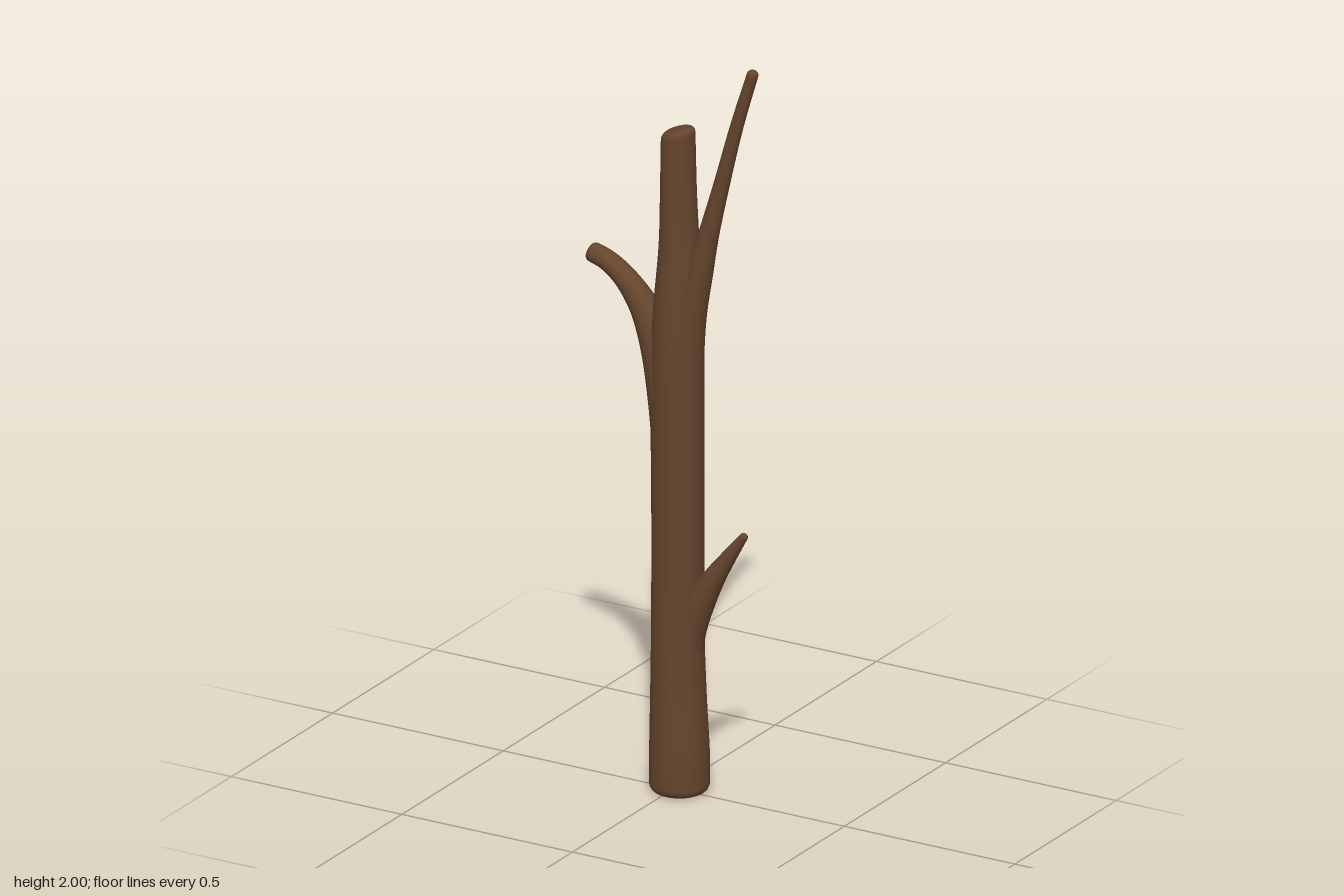
import * as THREE from 'three';

const bark = new THREE.MeshStandardMaterial({ color: 0x65452d, roughness: 0.9, side: THREE.DoubleSide });
const SIDES = 28;

// Sweeps a round section along [x, y, radius] stations in the z = 0 plane.
// bevelStart / bevelEnd round the ends; slant tips the far end sideways.
function limb(name, stations, { steps = 30, bevelStart = 0, bevelEnd = 0.01, slant = 0 } = {}) {
  const curve = new THREE.CatmullRomCurve3(stations.map(s => new THREE.Vector3(...s)));
  const rings = [];
  for (let i = 0; i <= steps; i++) {
    const p = curve.getPoint(i / steps);
    const t = curve.getTangent(i / steps).setZ(0).normalize();
    rings.push({ x: p.x, y: p.y, r: p.z, tx: t.x, ty: t.y, tilt: 0 });
  }

  // Rounded rim followed by a flat face, ending in a point at the centre
  const cap = (ring, bevel, dir) => {
    const out = [];
    const add = (d, r) => out.push({ ...ring, x: ring.x + ring.tx * d * dir, y: ring.y + ring.ty * d * dir, r });
    for (let k = 1; k <= 5; k++) {
      const a = (k / 5) * Math.PI / 2;
      add(bevel * Math.sin(a), ring.r - bevel * (1 - Math.cos(a)));
    }
    add(bevel, (ring.r - bevel) * 0.85);
    add(bevel, 0);
    return out;
  };
  const last = rings[steps];
  last.tilt = slant;
  const all = [...cap(rings[0], bevelStart, -1).reverse(), ...rings, ...cap(last, bevelEnd, 1)];

  const pos = [], index = [];
  all.forEach((q, i) => {
    for (let j = 0; j < SIDES; j++) {
      const a = (j / SIDES) * Math.PI * 2;
      const n = Math.cos(a) * q.r, lift = -n * q.tilt;
      pos.push(q.x - q.ty * n + q.tx * lift, q.y + q.tx * n + q.ty * lift, Math.sin(a) * q.r);
      if (i === all.length - 1) continue;
      const k = (j + 1) % SIDES;
      const A = i * SIDES + j, B = i * SIDES + k;
      index.push(A, B, B + SIDES, A, B + SIDES, A + SIDES);
    }
  });
  const geo = new THREE.BufferGeometry();
  geo.setAttribute('position', new THREE.Float32BufferAttribute(pos, 3));
  geo.setIndex(index);
  geo.computeVertexNormals();
  const mesh = new THREE.Mesh(geo, bark);
  mesh.name = name;
  return mesh;
}

export function createModel() {
  const group = new THREE.Group();
  group.name = 'branch';

  // Main stem, slightly flared at the foot and cut at a slant on top
  group.add(limb('trunk', [
    [0.017, 0.022, 0.077], [0.017, 0.1, 0.077], [0.014, 0.25, 0.072], [0.012, 0.42, 0.068],
    [0.012, 0.7, 0.067], [0.011, 1.0, 0.068], [0.012, 1.2, 0.068], [0.013, 1.3, 0.064],
    [0.016, 1.48, 0.052], [0.014, 1.62, 0.047], [0.013, 1.775, 0.044],
  ], { steps: 44, bevelStart: 0.022, bevelEnd: 0.022, slant: 0.3 }));

  // Thick side branch curving out to -x
  group.add(limb('sideBranch', [
    [0.005, 0.94, 0.06], [-0.012, 1.08, 0.058], [-0.042, 1.2, 0.05], [-0.088, 1.295, 0.038],
    [-0.145, 1.362, 0.03], [-0.195, 1.396, 0.027], [-0.235, 1.409, 0.026],
  ], { bevelEnd: 0.012 }));

  // Long thin shoot rising to +x
  group.add(limb('longShoot', [
    [0.03, 1.16, 0.05], [0.05, 1.3, 0.041], [0.077, 1.42, 0.034], [0.101, 1.52, 0.027],
    [0.138, 1.66, 0.021], [0.186, 1.84, 0.017], [0.231, 1.985, 0.015],
  ], { bevelEnd: 0.014 }));

  // Short low twig on the same side
  group.add(limb('shortTwig', [
    [0.035, 0.36, 0.04], [0.052, 0.45, 0.04], [0.082, 0.53, 0.037],
    [0.122, 0.602, 0.028], [0.165, 0.667, 0.019], [0.205, 0.725, 0.011],
  ], { bevelEnd: 0.01 }));

  return group;
}
